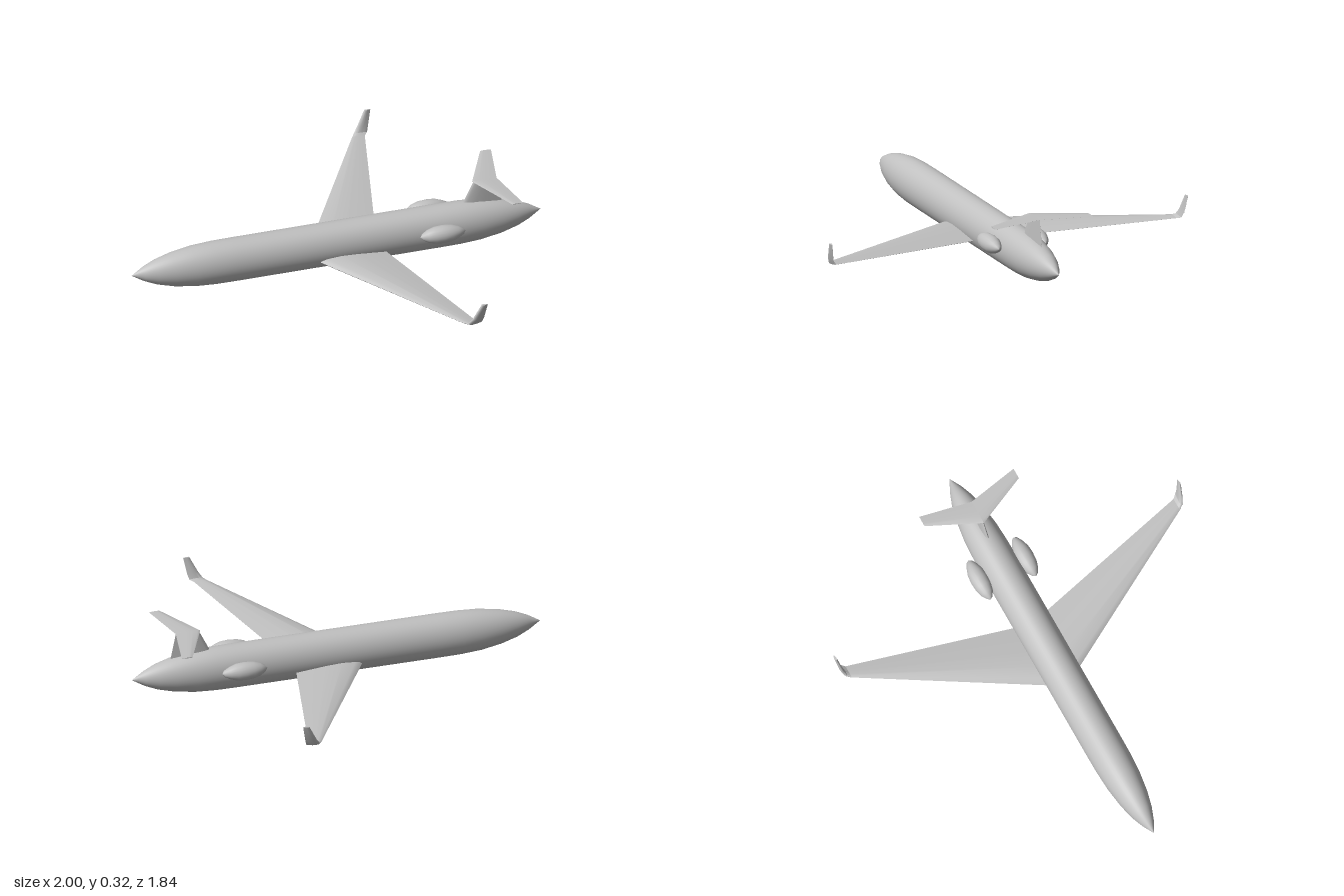
import * as THREE from 'three';
import { toCreasedNormals } from 'three/addons/utils/BufferGeometryUtils.js';

const paint = new THREE.MeshStandardMaterial({ color: 0xc0c0c0 });
paint.name = 'light grey';

const V = (x, y) => new THREE.Vector2(x, y);

// Body of revolution lying along x, from [x, radius] points
function spindle(name, points, sides) {
  const geo = new THREE.LatheGeometry(points.map(([x, r]) => V(r, x)), sides);
  geo.rotateZ(-Math.PI / 2);
  const mesh = new THREE.Mesh(geo, paint);
  mesh.name = name;
  return mesh;
}

// Half thickness of an aerofoil at chord fractions, leading to trailing edge
const FOIL = [[0, 0], [0.03, 0.42], [0.1, 0.74], [0.3, 1], [0.55, 0.8], [0.8, 0.4], [1, 0.03]];

// Closed aerofoil ring; tilt 0 is a flat wing, PI/2 an upright fin
function ring({ x0, x1, y, z, t, tilt = 0 }, side) {
  const upper = FOIL.map(([u, h]) => [u, h]);
  const lower = FOIL.slice(1).reverse().map(([u, h]) => [u, -h]);
  return [...upper, ...lower].map(([u, h]) => {
    const d = h * t / 2;
    return [x0 + (x1 - x0) * u, y + d * Math.cos(tilt), side * (z - d * Math.sin(tilt))];
  });
}

// Skin a row of aerofoil sections and cap both ends
function loft(name, sections, side = 1) {
  const rings = sections.map((s) => ring(s, side));
  const n = rings[0].length, last = (rings.length - 1) * n;
  const index = [];
  const tri = (a, b, c) => (side > 0 ? index.push(a, b, c) : index.push(a, c, b));
  for (let r = 0; r < last; r += n) {
    for (let i = 0; i < n; i++) {
      const j = (i + 1) % n;
      tri(r + i, r + n + i, r + j);
      tri(r + j, r + n + i, r + n + j);
    }
  }
  for (let i = 1; i < n - 1; i++) {
    tri(0, i, i + 1);
    tri(last, last + i + 1, last + i);
  }
  // Turn the faces outward if the enclosed volume is negative
  const p = rings.flat().map((q) => new THREE.Vector3(...q));
  let volume = 0;
  for (let i = 0; i < index.length; i += 3) {
    volume += p[index[i]].dot(p[index[i + 1]].clone().cross(p[index[i + 2]]));
  }
  if (volume < 0) index.reverse();
  const geo = new THREE.BufferGeometry().setFromPoints(p);
  geo.setIndex(index);
  const mesh = new THREE.Mesh(toCreasedNormals(geo, 0.7), paint);
  mesh.name = name;
  return mesh;
}

export function createModel() {
  const plane = new THREE.Group();
  plane.name = 'airplane';

  // Fuselage, pointed alike at nose (-x) and tail (+x)
  const nose = [[-1, 0], [-0.94, 0.036], [-0.88, 0.062], [-0.8, 0.084], [-0.7, 0.1], [-0.6, 0.106], [-0.5, 0.107]];
  const tail = nose.map(([x, r]) => [-x, r]).reverse();
  const fuselage = spindle('fuselage', [...nose, ...tail], 40);
  fuselage.geometry.scale(1, 1, 0.85);
  fuselage.position.y = 0.107;
  plane.add(fuselage);

  for (const [side, label] of [[1, 'left'], [-1, 'right']]) {
    // Swept wing
    plane.add(loft(label + 'Wing', [
      { x0: -0.115, x1: 0.215, y: 0.062, z: 0.06, t: 0.04 },
      { x0: 0.352, x1: 0.415, y: 0.106, z: 0.87, t: 0.009 },
    ], side));

    // Upturned winglet
    plane.add(loft(label + 'Winglet', [
      { x0: 0.352, x1: 0.415, y: 0.106, z: 0.87, t: 0.009 },
      { x0: 0.366, x1: 0.432, y: 0.112, z: 0.889, t: 0.015, tilt: 0.8 },
      { x0: 0.385, x1: 0.44, y: 0.14, z: 0.9, t: 0.016, tilt: 1.35 },
      { x0: 0.425, x1: 0.455, y: 0.218, z: 0.912, t: 0.012, tilt: 1.45 },
    ], side));

    // Engine pod beside the rear fuselage
    const engine = spindle(label + 'Engine', [
      [-0.11, 0], [-0.1, 0.014], [-0.075, 0.03], [-0.04, 0.04], [0, 0.043],
      [0.04, 0.04], [0.075, 0.028], [0.1, 0.015], [0.11, 0],
    ], 20);
    engine.position.set(0.485, 0.133, side * 0.12);
    plane.add(engine);

    // Half of the T-tail
    plane.add(loft(label + 'Stabilizer', [
      { x0: 0.665, x1: 0.785, y: 0.315, z: 0, t: 0.009 },
      { x0: 0.783, x1: 0.836, y: 0.315, z: 0.25, t: 0.004 },
    ], side));
  }

  // Upright fin carrying the T-tail
  plane.add(loft('fin', [
    { x0: 0.595, x1: 0.815, y: 0.16, z: 0, t: 0.024, tilt: Math.PI / 2 },
    { x0: 0.615, x1: 0.808, y: 0.2, z: 0, t: 0.022, tilt: Math.PI / 2 },
    { x0: 0.672, x1: 0.785, y: 0.314, z: 0, t: 0.013, tilt: Math.PI / 2 },
  ]));

  return plane;
}
